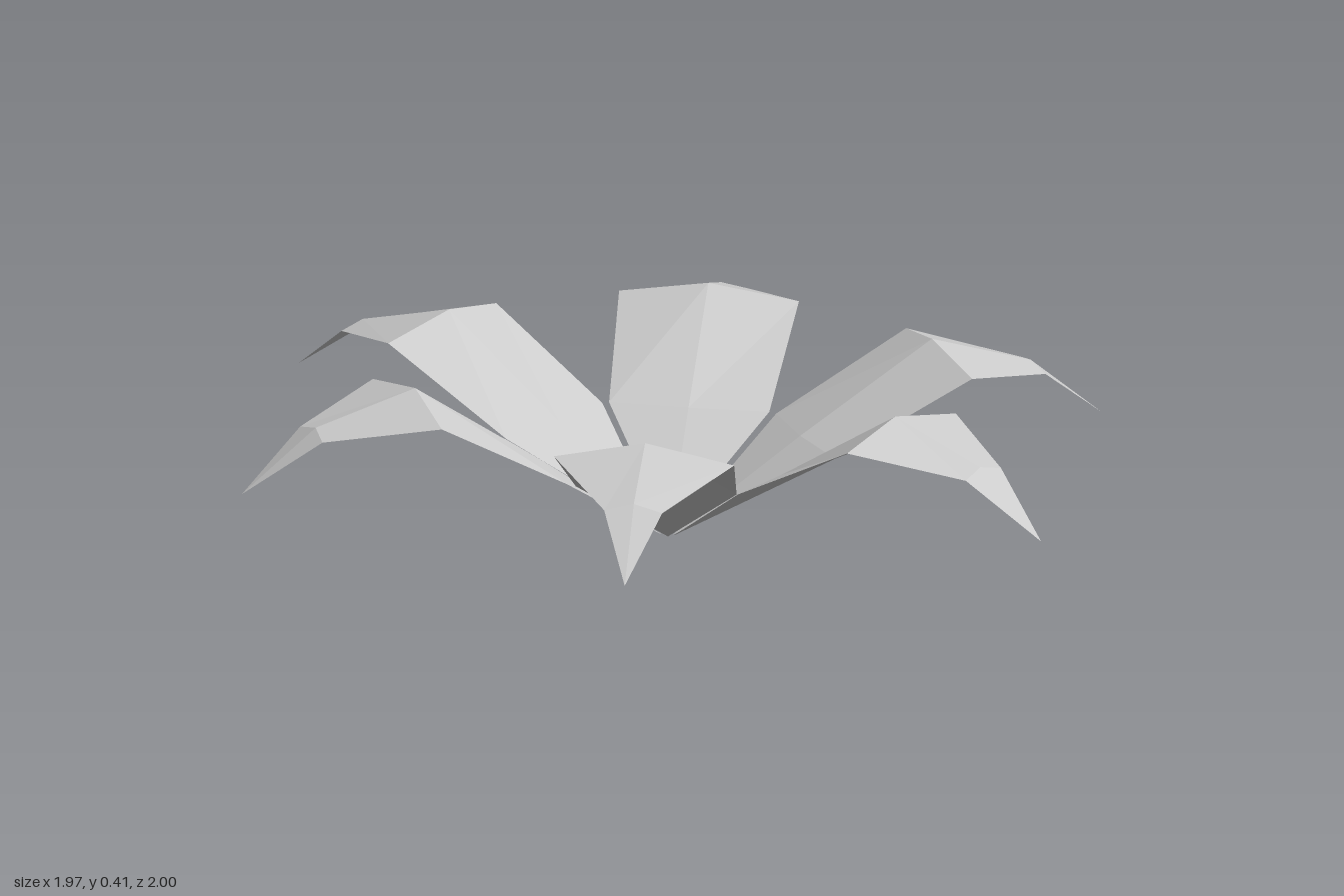
import * as THREE from 'three';

// Cross-sections along a petal: ridge distance/height, edge distance/height, half width
const SECTIONS = [
  { ridge: [0.012, 0.002], edge: [0.012, 0.002], half: 0 },
  { ridge: [0.31, 0.205], edge: [0.323, 0.203], half: 0.18 },
  { ridge: [0.62, 0.403], edge: [0.638, 0.367], half: 0.202 },
  { ridge: [0.858, 0.333], edge: [0.868, 0.318], half: 0.065 },
  { ridge: [1.032, 0.195], edge: [1.032, 0.195], half: 0 },
];

// Directions of the petals in degrees, counter-clockwise seen from above
const ANGLES = [17, 75.2, 136.5, 197.3, 256.2, 318.2];

// Lofts a folded petal pointing along +x
function petalGeometry() {
  const rows = SECTIONS.map(({ ridge, edge, half }) => [
    [edge[0], edge[1], -half],
    [ridge[0], ridge[1], 0],
    [edge[0], edge[1], half],
  ]);
  const positions = [];
  const last = rows.length - 2;
  for (let i = 0; i <= last; i++) {
    for (let j = 0; j < 2; j++) {
      const a = rows[i][j], b = rows[i][j + 1];
      const c = rows[i + 1][j + 1], d = rows[i + 1][j];
      // base and tip close to a point, so only one triangle is needed there
      if (i > 0) positions.push(...a, ...b, ...(i === last ? d : c));
      if (i < last) positions.push(...a, ...c, ...d);
    }
  }
  const geometry = new THREE.BufferGeometry();
  geometry.setAttribute('position', new THREE.Float32BufferAttribute(positions, 3));
  geometry.computeVertexNormals();
  return geometry;
}

export function createModel() {
  const model = new THREE.Group();
  model.name = 'flower';
  const material = new THREE.MeshStandardMaterial({
    color: 0xcccccc, flatShading: true, side: THREE.DoubleSide,
  });
  const geometry = petalGeometry();

  // Ring of petals, leaning very slightly to one side
  const petals = new THREE.Group();
  petals.name = 'petals';
  petals.rotation.set(-0.0155, 0, -0.0177);
  ANGLES.forEach((angle, i) => {
    const petal = new THREE.Mesh(geometry, material);
    petal.name = `petal${i + 1}`;
    petal.rotation.y = THREE.MathUtils.degToRad(angle);
    petals.add(petal);
  });
  model.add(petals);
  return model;
}
